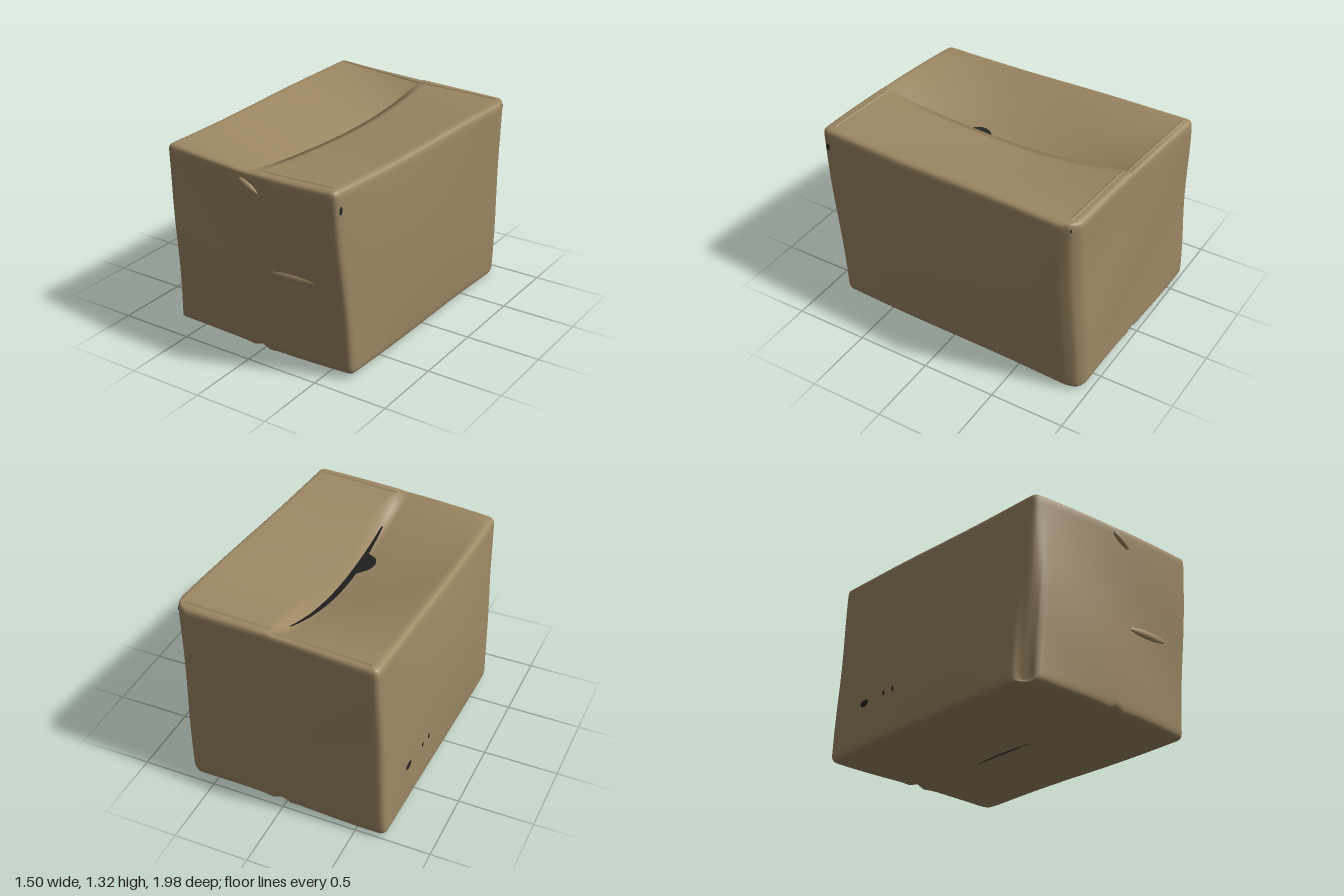
import * as THREE from 'three';
import { mergeVertices } from 'three/addons/utils/BufferGeometryUtils.js';

const { lerp, clamp, smoothstep } = THREE.MathUtils;
const V = (x, y, z) => new THREE.Vector3(x, y, z);

// Eight corners of the crushed carton: [bottom, top][back, front][-x, +x]
const CORNERS = [
  [[V(-0.70, 0.012, -0.99), V(0.715, 0.012, -0.965)], [V(-0.745, 0.03, 0.86), V(0.68, 0.03, 0.855)]],
  [[V(-0.635, 1.32, -0.995), V(0.765, 1.31, -0.90)], [V(-0.685, 1.26, 0.895), V(0.64, 1.275, 0.99)]],
];

// Seam between the two flaps, in box coordinates
const seam = (c) => 0.056 + 0.02 * c;

// Maps box coordinates (-1..1) onto the crumpled carton
function warp(a, b, c) {
  const u = (a + 1) / 2, v = (b + 1) / 2, w = (c + 1) / 2;
  const level = (l) => l[0][0].clone().lerp(l[0][1], u).lerp(l[1][0].clone().lerp(l[1][1], u), w);
  const p = level(CORNERS[0]).lerp(level(CORNERS[1]), v);
  const s = seam(c);
  const left = a < s - 0.014;
  const near = left ? (a + 1) / (s + 1) : (1 - a) / (1 - s);
  const along = Math.max(0, 1 - c * c);

  // Top flaps sag to the seam, the -x one deeper
  const top = smoothstep(b, 0.8, 1);
  p.y -= top * clamp(near, 0, 1) * along * (left ? 0.23 : 0.085);

  // Bottom flaps meet in a narrow groove
  const bottom = smoothstep(-b, 0.8, 1);
  p.y -= bottom * 0.015 * Math.max(0, 1 - Math.abs(a - s) * 6);
  if (Math.abs(a - s) < 0.03) p.y += bottom * 0.03;

  // Two opposite upright edges are crushed blunt
  const blunt = smoothstep(-a * c, 0.84, 1) * (c > 0 ? 0.06 * (1 - v) : 0.028);
  p.x -= Math.sign(a) * blunt;
  p.z -= Math.sign(c) * blunt;

  // Gentle bulges and dents in the walls
  p.x += a ** 3 * (a < 0 ? 0.034 : 0.026) * (1 + 0.4 * c) * along * (1 - b * b);
  p.z += 0.006 * Math.sin(6 * p.y + 4 * p.x) * Math.abs(c);
  p.z += 0.022 * Math.max(0, c) ** 3 * (1 - a * a);
  p.y += 0.005 * Math.sin(5 * p.x + 1) * Math.sin(4 * p.z) * Math.abs(b);
  return p;
}

// Closed carton: a rounded, finely divided box put through the warp
function cartonGeometry() {
  const n = 40;
  const g = new THREE.BoxGeometry(2, 2, 2, n, 32, 44);
  g.deleteAttribute('uv');
  g.deleteAttribute('normal');
  const pos = g.attributes.position;
  const half = V(0.7, 0.65, 0.95), r = 0.045;
  const inner = half.clone().subScalar(r);
  const dt = Math.sin(Math.PI / n);
  for (let i = 0; i < pos.count; i++) {
    const q = V(...[pos.getX(i), pos.getY(i), pos.getZ(i)].map((t) => Math.sin(t * Math.PI / 2)));
    q.multiply(half);
    const core = q.clone().clamp(inner.clone().negate(), inner);
    q.sub(core).setLength(r).add(core).divide(half);
    // Two neighbouring columns form the step at the seam
    const s = seam(q.z);
    const a = q.x > -dt / 2 ? lerp(s, 1, Math.max(0, q.x)) : lerp(-1, s - 0.02, (q.x + 1) / (1 - dt));
    const p = warp(a, q.y, q.z);
    pos.setXYZ(i, p.x, p.y, p.z);
  }
  const m = mergeVertices(g, 1e-5);
  m.computeVertexNormals();
  return m;
}

// Dark strip along the seam on the top (b = 1) or bottom (b = -1)
function gapGeometry(b, c0, c1, edges) {
  const rows = 60, pts = [], idx = [];
  for (let i = 0; i <= rows; i++) {
    const t = i / rows, c = lerp(c0, c1, t);
    for (const a of edges(t, c, seam(c))) {
      const p = warp(a, b, c);
      pts.push(p.x, p.y + b * 0.008, p.z);
    }
    if (i < rows) {
      const k = 2 * i;
      idx.push(k, k + 2, k + 1, k + 1, k + 2, k + 3);
    }
  }
  const g = new THREE.BufferGeometry();
  g.setAttribute('position', new THREE.Float32BufferAttribute(pts, 3));
  g.setIndex(idx);
  g.computeVertexNormals();
  return g;
}

// Top opening widens mid-way and has a torn bite
function topGap(t, c, s) {
  const bite = Math.sqrt(Math.max(0, 1 - ((c - 0.25) / 0.1) ** 2));
  return [s - 0.038 - 0.055 * Math.sin(Math.PI * t) - 0.135 * bite, s - 0.015];
}
const bottomGap = (t, c, s) => [s - 0.012 - 0.012 * Math.sin(Math.PI * t), s - 0.004];

export function createModel() {
  const cardboard = new THREE.MeshStandardMaterial({ color: 0x9d8763 });
  cardboard.name = 'cardboard';
  const dark = new THREE.MeshStandardMaterial({ color: 0x222222, side: THREE.DoubleSide });
  dark.name = 'darkOpening';
  const group = new THREE.Group();
  group.name = 'cardboardBox';
  const add = (name, geometry, material) => {
    const mesh = new THREE.Mesh(geometry, material);
    mesh.name = name;
    group.add(mesh);
    return mesh;
  };

  add('carton', cartonGeometry(), cardboard);
  add('flapGap', gapGeometry(1, -0.74, 0.64, topGap), dark);
  add('bottomGap', gapGeometry(-1, -0.3, 0.2, bottomGap), dark);

  // Flattened lump sitting on the surface at box coordinates (a, b, c)
  const lump = (name, material, at, size, turn = 0) => {
    const mesh = add(name, new THREE.SphereGeometry(1, 20, 12), material);
    mesh.position.copy(warp(...at));
    mesh.scale.set(...size);
    mesh.rotation.z = turn;
  };
  lump('frontCrease', cardboard, [0.46, -0.06, 0.985], [0.2, 0.032, 0.03], 0.05);
  lump('frontTornTab', cardboard, [0.05, 0.84, 1], [0.08, 0.024, 0.02], -0.5);

  // Small holes in the side wall and at the upright edges
  lump('sideHole', dark, [-1, -0.52, -0.62], [0.0045, 0.025, 0.042]);
  lump('sideHole', dark, [-1, -0.51, -0.4], [0.0045, 0.018, 0.01]);
  lump('sideHole', dark, [-1, -0.51, -0.3], [0.0045, 0.02, 0.01]);
  lump('frontCornerHole', dark, [0.998, 0.8, 0.955], [0.0045, 0.026, 0.016]);
  lump('backCornerHole', dark, [0.974, 0.93, -0.983], [0.008, 0.014, 0.004]);

  // Folded rims along the front and back top edges
  const fold = (name, a0, a1, c) => {
    const path = [];
    for (let i = 0; i <= 8; i++) {
      const p = warp(lerp(a0, a1, i / 8), 1, c);
      p.y -= 0.006;
      path.push(p);
    }
    const curve = new THREE.CatmullRomCurve3(path);
    add(name, new THREE.TubeGeometry(curve, 32, 0.012, 8), cardboard);
  };
  fold('frontFold', 0.08, 0.92, 0.93);
  fold('backFold', -0.92, 0.02, -0.95);
  fold('backFold', 0.06, 0.9, -0.93);

  return group;
}
